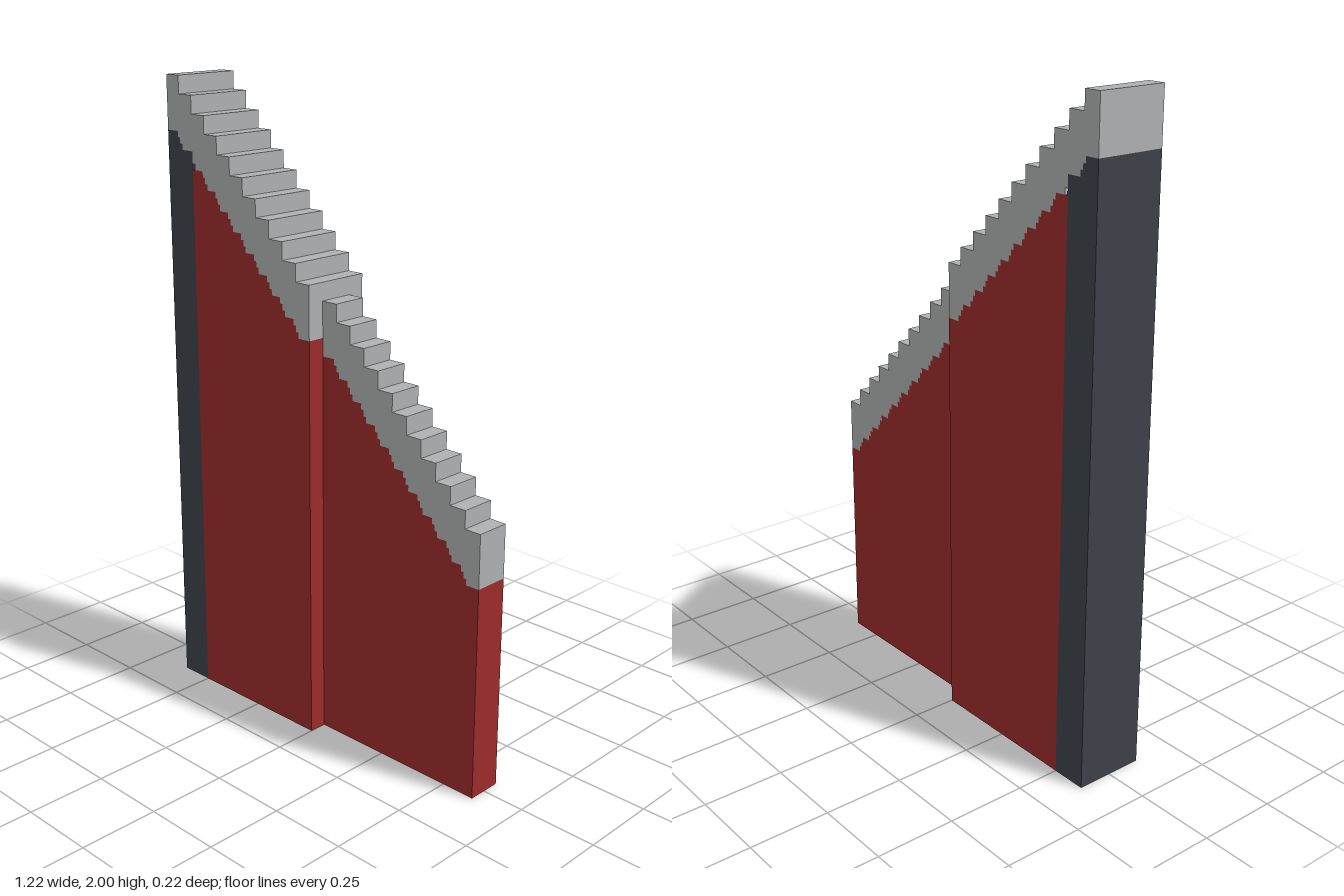
import * as THREE from 'three';

const STEP = 1 / 18;        // tread width and riser height
const COLS = 22;            // columns across the whole wall
const LEFT = -COLS * STEP / 2;
const CAP = 3 * STEP;       // depth of the stone coping
const topY = (i) => 2 - i * STEP;
const colX = (i) => LEFT + i * STEP;

const stone = new THREE.MeshStandardMaterial({ color: 0xafb0b1 });
stone.name = 'stoneGrey';
const red = new THREE.MeshStandardMaterial({ color: 0x9c2b2b });
red.name = 'wallRed';
const dark = new THREE.MeshStandardMaterial({ color: 0x3d4249 });
dark.name = 'postCharcoal';

// Stepped top edge of columns a..b-1, left to right
function topEdge(a, b) {
  const pts = [];
  for (let i = a; i < b; i++) pts.push([colX(i), topY(i)], [colX(i + 1), topY(i)]);
  return pts;
}

// Underside of the coping: each drop is split into three small steps
function lowerEdge(a, b) {
  const d = 0.01, drop = STEP / 3;
  const pts = [[colX(a), topY(a) - CAP]];
  for (let i = a + 1; i < b; i++) {
    let y = topY(i - 1) - CAP;
    for (const dx of [-d, 0, d]) {
      pts.push([colX(i) + dx, y]);
      y -= drop;
      pts.push([colX(i) + dx, y]);
    }
  }
  pts.push([colX(b), topY(b - 1) - CAP]);
  return pts;
}

// Flat slab of the given outline, centred on z = 0
function slab(name, outline, depth, material) {
  const shape = new THREE.Shape(outline.map(([x, y]) => new THREE.Vector2(x, y)));
  const geo = new THREE.ExtrudeGeometry(shape, { depth, bevelEnabled: false });
  geo.translate(0, 0, -depth / 2);
  const mesh = new THREE.Mesh(geo, material);
  mesh.name = name;
  return mesh;
}

// Body below the coping, standing on the ground
function body(name, a, b, depth, material) {
  return slab(name, [[colX(a), 0], [colX(b), 0], ...lowerEdge(a, b).reverse()], depth, material);
}

function coping(name, a, b, depth) {
  return slab(name, [...lowerEdge(a, b), ...topEdge(a, b).reverse()], depth, stone);
}

export function createModel() {
  const model = new THREE.Group();
  model.name = 'steppedWall';
  const thick = 4 * STEP, thin = 2 * STEP, mid = COLS / 2;

  // Tall thick half with the dark end post
  model.add(body('endPost', 0, 2, thick, dark));
  model.add(body('thickWall', 2, mid, thick, red));
  model.add(coping('thickCoping', 0, mid, thick));

  // Low thin half
  model.add(body('thinWall', mid, COLS, thin, red));
  model.add(coping('thinCoping', mid, COLS, thin));
  return model;
}
